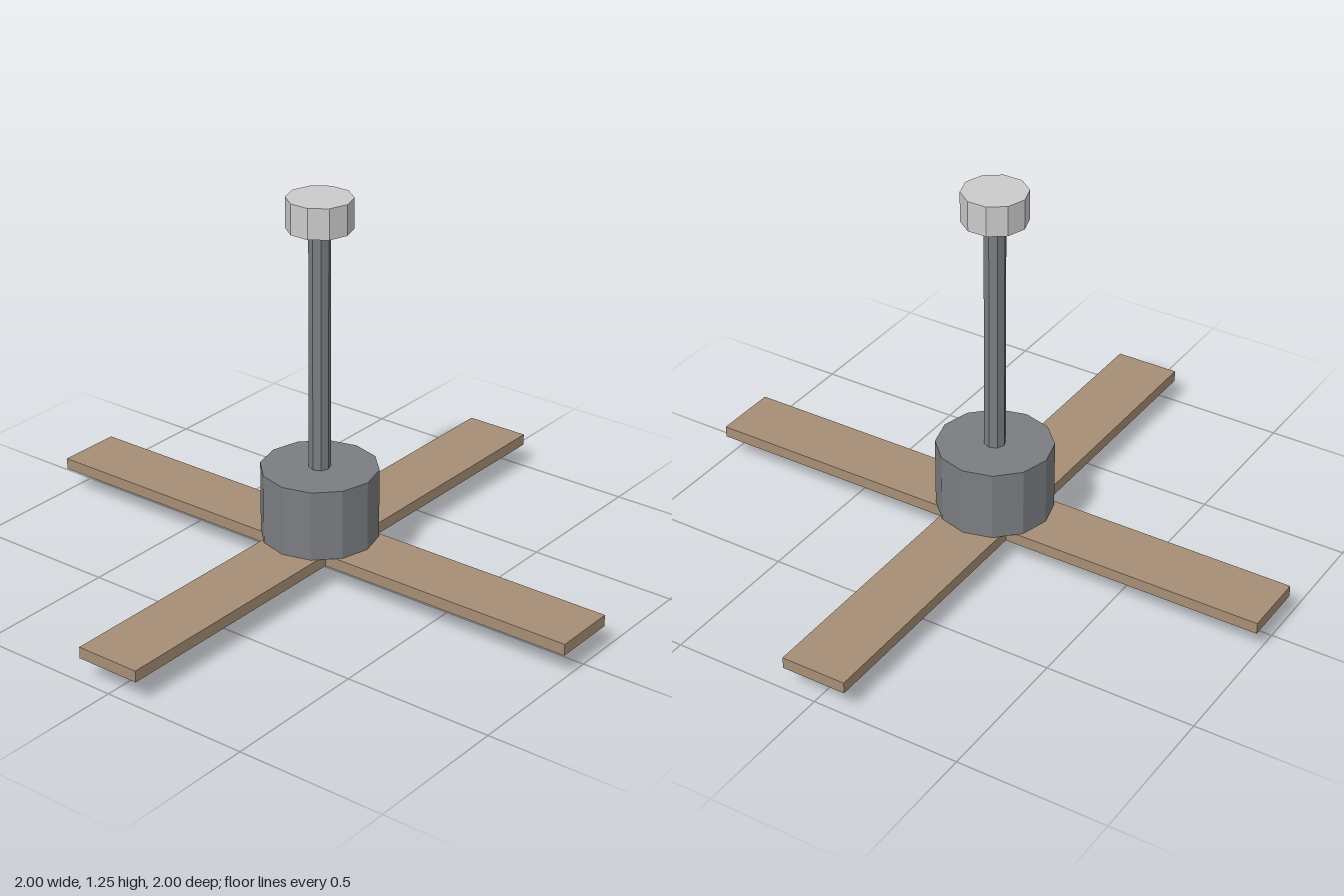
import * as THREE from 'three';

const material = (color) => new THREE.MeshStandardMaterial({ color, flatShading: true });

export function createModel() {
  const fan = new THREE.Group();
  fan.name = 'ceilingFan';

  const canopyGrey = material(0xcccccc);
  const metal = material(0x7b7d81);
  const wood = material(0xa68e75);
  const brass = material(0xbfaa5c);

  const add = (name, geometry, mat) => {
    const mesh = new THREE.Mesh(geometry, mat);
    mesh.name = name;
    fan.add(mesh);
    return mesh;
  };

  // Upright cylinder between two heights
  const drum = (name, radius, bottom, top, sides, mat) => {
    const mesh = add(name, new THREE.CylinderGeometry(radius, radius, top - bottom, sides), mat);
    mesh.position.y = (bottom + top) / 2;
  };

  drum('ceilingMount', 0.105, 1.153, 1.253, 10, canopyGrey);
  drum('downRod', 0.035, 0.353, 1.153, 8, metal);
  drum('motorHousing', 0.19, 0.118, 0.353, 12, metal);

  // Four flat blades around an open square below the motor
  const inner = 0.11;
  const blade = new THREE.BoxGeometry(1 - inner, 0.038, 0.22);
  blade.translate((1 + inner) / 2, 0.099, 0);
  for (let i = 0; i < 4; i++) {
    add('blade' + (i + 1), blade, wood).rotation.y = (i * Math.PI) / 2;
  }

  // Faceted bulb hanging under the motor
  const bulbProfile = [
    [0, 0], [0.034, 0.012], [0.054, 0.043], [0.054, 0.082], [0.034, 0.112], [0, 0.122],
  ].map(([r, y]) => new THREE.Vector2(r, y));
  add('bulb', new THREE.LatheGeometry(bulbProfile, 10), brass);

  return fan;
}
